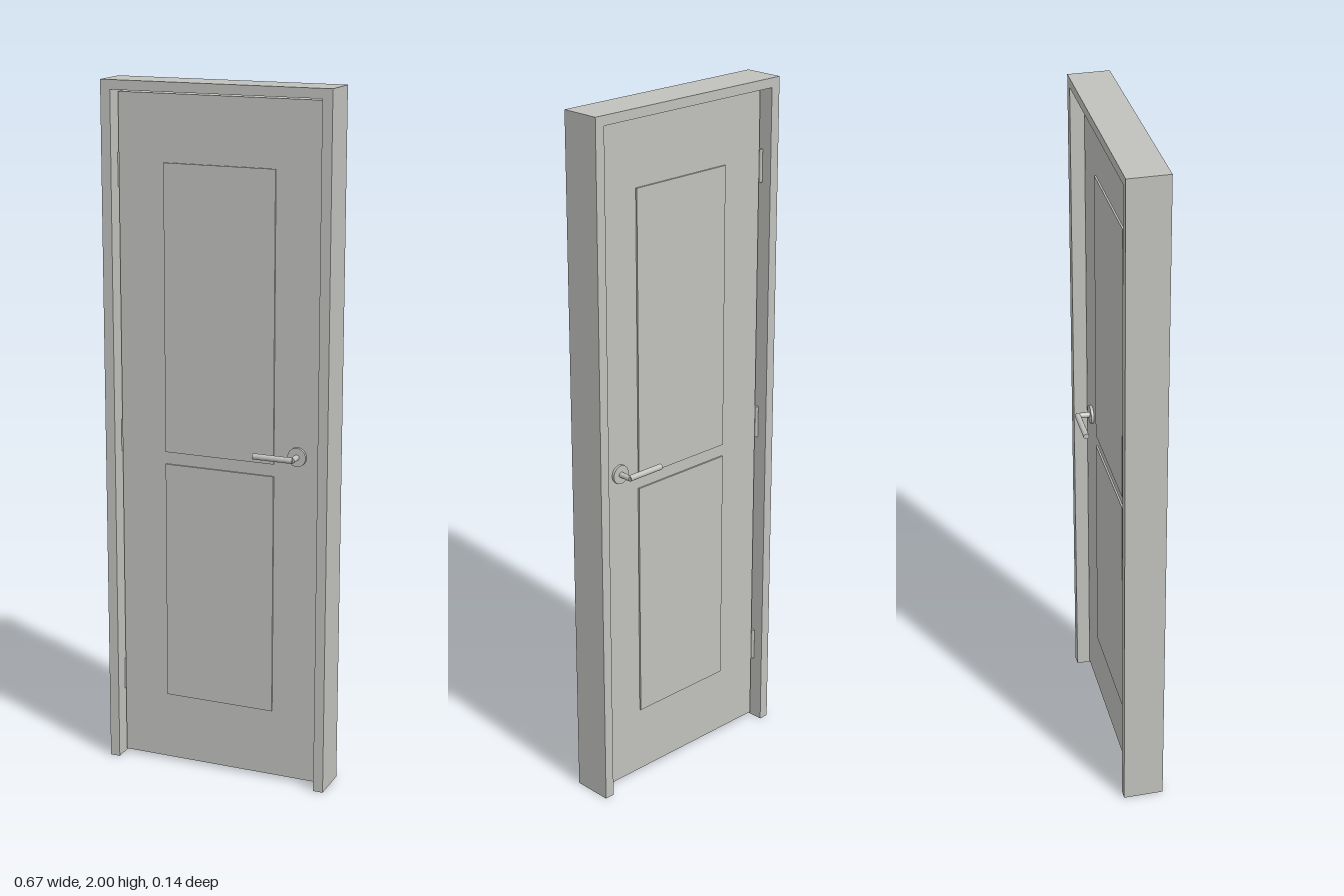
import * as THREE from 'three';

export function createModel() {
  const model = new THREE.Group();
  model.name = 'door';
  const grey = new THREE.MeshStandardMaterial({ color: 0xc0c0bd });
  grey.name = 'warm grey';

  const add = (name, geometry, x, y, z, parent = model) => {
    const mesh = new THREE.Mesh(geometry, grey);
    mesh.name = name;
    mesh.position.set(x, y, z);
    parent.add(mesh);
    return mesh;
  };

  // Frame: two jambs and a head, open at the floor
  const W = 0.337, H = 2, D = 0.117, inX = 0.308, inY = 1.973;
  const outline = new THREE.Shape([
    [-W, 0], [-inX, 0], [-inX, inY], [inX, inY], [inX, 0], [W, 0], [W, H], [-W, H],
  ].map(([x, y]) => new THREE.Vector2(x, y)));
  add('frame', new THREE.ExtrudeGeometry(outline, { depth: D, bevelEnabled: false }), 0, 0, -D / 2);

  // Door leaf, with a narrow gap all round
  const leafZ = 0.02, bottom = 0.01, top = 1.965;
  add('doorLeaf', new THREE.BoxGeometry(0.604, top - bottom, leafZ * 2), 0, (top + bottom) / 2, 0);

  // Hinges on the back of the right edge
  for (const y of [0.25, 0.985, 1.75]) {
    const hinge = new THREE.Group();
    hinge.name = 'hinge';
    hinge.position.set(-0.305, y, 0);
    model.add(hinge);
    add('hingeBarrel', new THREE.CylinderGeometry(0.005, 0.005, 0.095, 16), 0, 0, -leafZ - 0.004, hinge);
    add('hingePlate', new THREE.BoxGeometry(0.005, 0.095, 0.036), 0, 0, -0.002, hinge);
  }

  // Panels and lever handles on both faces
  const handleX = 0.235, handleY = 0.982, leverZ = 0.063;
  for (const s of [1, -1]) {
    for (const [y0, y1] of [[0.21, 0.917], [0.953, 1.777]]) {
      add('raisedPanel', new THREE.BoxGeometry(0.33, y1 - y0, 0.006), 0, (y0 + y1) / 2, s * (leafZ + 0.002));
    }
    const handle = new THREE.Group();
    handle.name = s > 0 ? 'frontHandle' : 'backHandle';
    handle.position.set(handleX, handleY, 0);
    model.add(handle);
    const disc = (r, len) => new THREE.CylinderGeometry(r, r, len, 32).rotateX(Math.PI / 2);
    add('rosette', disc(0.027, 0.008), 0, 0, s * (leafZ + 0.004), handle);
    add('stem', disc(0.008, 0.046), 0, 0, s * (leafZ + 0.023), handle);
    add('lever', new THREE.CylinderGeometry(0.0085, 0.0085, 0.118, 24).rotateZ(Math.PI / 2),
      -0.057, 0, s * leverZ, handle);
  }
  return model;
}
